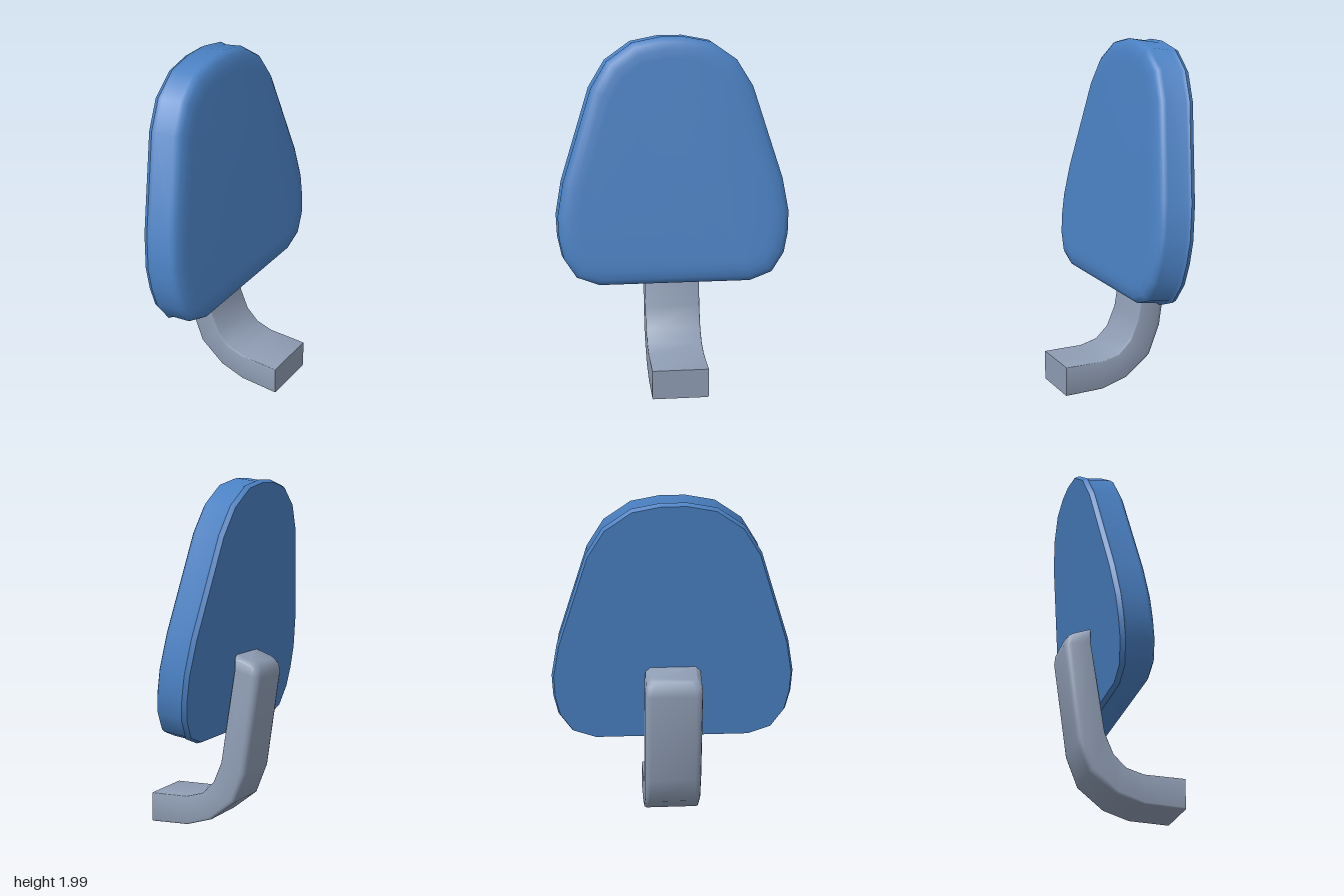
import * as THREE from 'three';
import { toCreasedNormals } from 'three/addons/utils/BufferGeometryUtils.js';

// Skin a list of equal-length rings and close both ends.
function loft(rings, crease) {
  const n = rings[0].length, pos = [], idx = [];
  rings.forEach(r => r.forEach(p => pos.push(p.x, p.y, p.z)));
  for (let i = 0; i < rings.length - 1; i++) {
    for (let j = 0; j < n; j++) {
      const k = (j + 1) % n, a = i * n + j, b = i * n + k;
      idx.push(a, b, b + n, a, b + n, a + n);
    }
  }
  const last = (rings.length - 1) * n;
  for (let j = 1; j < n - 1; j++) {
    idx.push(0, j + 1, j);
    idx.push(last, last + j, last + j + 1);
  }
  const g = new THREE.BufferGeometry();
  g.setAttribute('position', new THREE.Float32BufferAttribute(pos, 3));
  g.setIndex(idx);
  return toCreasedNormals(g, crease);
}

// Move every corner of a counter-clockwise convex outline inwards.
function inset(outline, d) {
  const n = outline.length;
  return outline.map((p, i) => {
    const e1 = p.clone().sub(outline[(i + n - 1) % n]).normalize();
    const e2 = outline[(i + 1) % n].clone().sub(p).normalize();
    const n1 = new THREE.Vector2(-e1.y, e1.x), n2 = new THREE.Vector2(-e2.y, e2.x);
    const m = n1.clone().add(n2).normalize();
    return p.clone().addScaledVector(m, d / m.dot(n1));
  });
}

function cushionGeometry() {
  // Half outline: sideways, up along the cushion
  const half = [[0.44, 0.575], [0.575, 0.625], [0.65, 0.74], [0.675, 0.86], [0.68, 0.99],
    [0.645, 1.185], [0.475, 1.72], [0.38, 1.875], [0.23, 1.98], [0.07, 2.011]];
  const outline = [
    ...half.map(([s, v]) => new THREE.Vector2(s, v)),
    ...half.map(([s, v]) => new THREE.Vector2(-s, v)).reverse(),
  ];
  // Edge profile: depth through the cushion, inset of the outline
  const profile = [[-0.056, 0.012], [-0.03, 0], [-0.013, 0.012], [0.108, 0.01],
    [0.128, 0.02], [0.142, 0.042], [0.151, 0.085], [0.153, 0.13]];
  const c = 0.991, s = 0.133; // backward lean
  const rings = profile.map(([d, i]) => inset(outline, i).map(p =>
    new THREE.Vector3(c * d - s * p.y, c * p.y + s * d, -p.x)));
  return loft(rings, 0.9);
}

function bracketGeometry() {
  // Stations: outer x, y, inner x, y, half width, outer and inner edge radius
  const stations = [
    [0.34, 0.004, 0.34, 0.175, 0.162, 0.008, 0.004],
    [0.11, 0.012, 0.11, 0.18, 0.162, 0.01, 0.006],
    [-0.04, 0.058, 0.01, 0.21, 0.162, 0.015, 0.008],
    [-0.19, 0.175, -0.06, 0.28, 0.162, 0.025, 0.01],
    [-0.26, 0.345, -0.11, 0.4, 0.162, 0.035, 0.01],
    [-0.34, 0.895, -0.195, 0.94, 0.162, 0.04, 0.01],
    [-0.336, 0.942, -0.192, 1.0, 0.155, 0.04, 0.01],
    [-0.312, 0.978, -0.19, 1.022, 0.13, 0.035, 0.01],
  ];
  const corners = [[-1, 0], [1, 0], [1, 1], [-1, 1]];
  const rings = stations.map(([ox, oy, ix, iy, w, ro, ri]) => {
    const out = new THREE.Vector2(ox, oy), dir = new THREE.Vector2(ix - ox, iy - oy);
    const h = dir.length(), ring = [];
    dir.normalize();
    corners.forEach(([sz, top], k) => {
      const r = top ? ri : ro;
      for (let i = 0; i <= 3; i++) {
        const a = Math.PI + (k + i / 3) * Math.PI / 2;
        const z = sz * (w - r) + r * Math.cos(a);
        const t = (top ? h - r : r) + r * Math.sin(a);
        ring.push(new THREE.Vector3(out.x + dir.x * t, out.y + dir.y * t, z));
      }
    });
    return ring;
  });
  return loft(rings, 0.75);
}

export function createModel() {
  const fabric = new THREE.MeshStandardMaterial({ color: 0x4a80c2 });
  fabric.name = 'blue fabric';
  const metal = new THREE.MeshStandardMaterial({ color: 0x8e9cb3 });
  metal.name = 'grey metal';

  const group = new THREE.Group();
  group.name = 'chairBackrest';
  // Padded back with a raised rim
  const cushion = new THREE.Mesh(cushionGeometry(), fabric);
  cushion.name = 'backrestCushion';
  // Curved support bar
  const bracket = new THREE.Mesh(bracketGeometry(), metal);
  bracket.name = 'supportBracket';
  group.add(cushion, bracket);
  return group;
}
